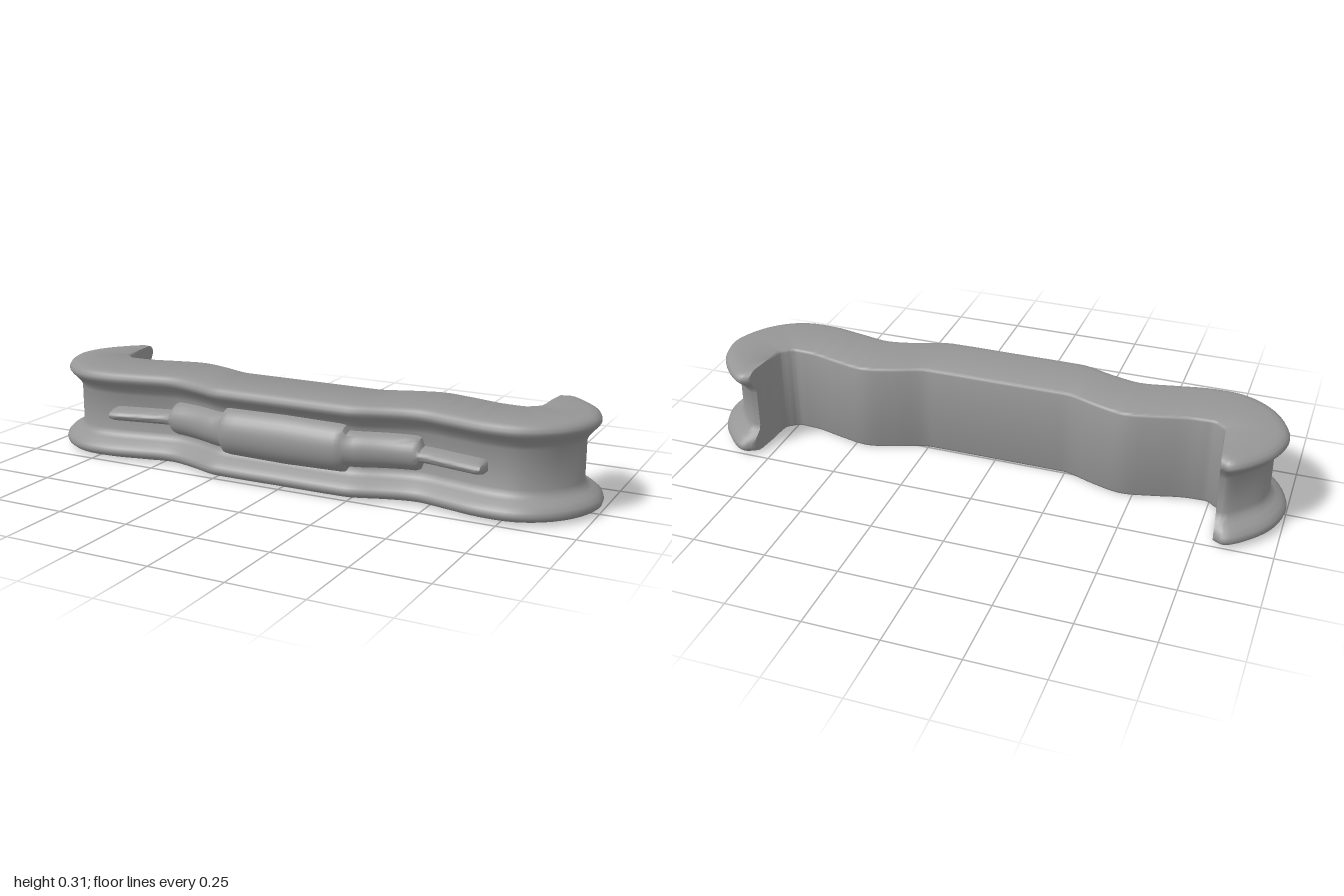
import * as THREE from 'three';
import { toCreasedNormals } from 'three/addons/utils/BufferGeometryUtils.js';

// Half plan, centre to hook tip: [rim x, rim z, web x, web z, inner x, inner z]
const HALF = [
  [0, .257, 0, .19, 0, 0],
  [.21, .257, .2, .19, .21, 0],
  [.26, .253, .25, .188, .26, -.002],
  [.36, .218, .35, .155, .36, -.038],
  [.46, .195, .46, .135, .46, -.063],
  [.57, .215, .57, .152, .56, -.045],
  [.68, .237, .69, .172, .66, -.02],
  [.80, .232, .78, .17, .71, -.016],
  [.89, .187, .85, .137, .742, -.016],
  [.96, .11, .905, .08, .762, -.03],
  [1, 0, .94, 0, .779, -.044],
  [.98, -.11, .925, -.08, .784, -.07],
  [.925, -.195, .875, -.148, .787, -.09],
  [.845, -.258, .825, -.193, .79, -.11],
  [.805, -.24, .80, -.193, .792, -.12],
];

// Cross-section: [t, y] with t = 0 on the web, 1 on the rim edge, -1 on the inner wall
const SECTION = [
  [-1, .012], [-.985, .005], [-.95, .002], [0, .002], [.45, .005], [.8, .013], [.95, .021], [1, .032],
  [.93, .045], [.7, .058], [.35, .07], [.12, .08], [0, .098],
  [0, .225], [.1, .24], [.3, .256], [.55, .272], [.68, .283], [.68, .292],
  [.58, .303], [.35, .311], [0, .315], [-.95, .315], [-.985, .312], [-1, .305],
];

// Mirrored curve through one column pair of the plan
function planCurve(k) {
  const right = HALF.map(r => new THREE.Vector3(r[k], 0, r[k + 1]));
  const left = right.slice(1).reverse().map(p => new THREE.Vector3(-p.x, 0, p.z));
  return new THREE.CatmullRomCurve3([...left, ...right], false, 'centripetal');
}

// Join rings running towards +x; each ring runs outwards and up
function loft(rings, closed, crease, capFaces = []) {
  const n = rings[0].length, index = [];
  for (let i = 0; i < rings.length - 1; i++) {
    for (let j = 0; j < (closed ? n : n - 1); j++) {
      const k = (j + 1) % n;
      const a = i * n + j, b = (i + 1) * n + j, c = (i + 1) * n + k, d = i * n + k;
      index.push(a, b, c, a, c, d);
    }
  }
  const last = (rings.length - 1) * n;
  for (const [a, b, c] of capFaces) index.push(a, b, c, last + a, last + c, last + b);
  const geo = new THREE.BufferGeometry().setFromPoints(rings.flat());
  geo.setIndex(index);
  return toCreasedNormals(geo, crease);
}

export function createModel() {
  const group = new THREE.Group();
  const material = new THREE.MeshStandardMaterial({ color: 0x969696, side: THREE.DoubleSide });
  const add = (name, geo) => {
    const mesh = new THREE.Mesh(geo, material);
    mesh.name = name;
    group.add(mesh);
  };

  // Hooked body with flared rims above and below a recessed web
  const [rim, web, inner] = [0, 2, 4].map(planCurve);
  const steps = (HALF.length - 1) * 2 * 4;
  const rings = [], webLine = [];
  for (let i = 0; i <= steps; i++) {
    const [r, w, q] = [rim, web, inner].map(c => c.getPoint(i / steps));
    webLine.push(w);
    rings.push(SECTION.map(([t, y]) => {
      const p = w.clone().lerp(t < 0 ? q : r, Math.abs(t));
      p.y = y;
      return p;
    }));
  }
  const caps = THREE.ShapeUtils.triangulateShape(SECTION.map(([t, y]) => new THREE.Vector2(t, y)), []);
  add('hookedBody', loft(rings, true, 1.1, caps));

  // Depth of the web at a given x on its front side
  const webZ = x => {
    const i = webLine.findIndex((p, k) => k > 0 && p.x >= x);
    const a = webLine[i - 1], b = webLine[i];
    return THREE.MathUtils.lerp(a.z, b.z, (x - a.x) / (b.x - a.x));
  };

  // Stepped rounded ridge along the front: [x, half height, depth]
  const ridge = [
    [0, .085, .07], [.2, .081, .069], [.222, .078, .064], [.232, .06, .058],
    [.445, .057, .058], [.458, .052, .056], [.468, .026, .054],
    [.67, .024, .064], [.685, .021, .06], [.692, .013, .037], [.692, 0, 0],
  ];
  const full = [...ridge.slice(1).reverse().map(([x, h, d]) => [-x, h, d]), ...ridge];
  const ridgeRings = [];
  full.forEach(([x0, h0, d0], i) => {
    const [x1, h1, d1] = full[i + 1] || full[i];
    const cuts = i === full.length - 1 ? 1 : Math.max(1, Math.round((x1 - x0) / .03));
    for (let c = 0; c < cuts; c++) {
      const f = c / cuts, x = x0 + (x1 - x0) * f, h = h0 + (h1 - h0) * f, d = d0 + (d1 - d0) * f;
      const ring = [];
      for (let j = 0; j <= 16; j++) {
        const a = -Math.PI / 2 + Math.PI * j / 16;
        ring.push(new THREE.Vector3(x, .16 + h * Math.sin(a), webZ(x) - .002 + d * Math.cos(a)));
      }
      ridgeRings.push(ring);
    }
  });
  add('frontRidge', loft(ridgeRings, false, .8));

  return group;
}
